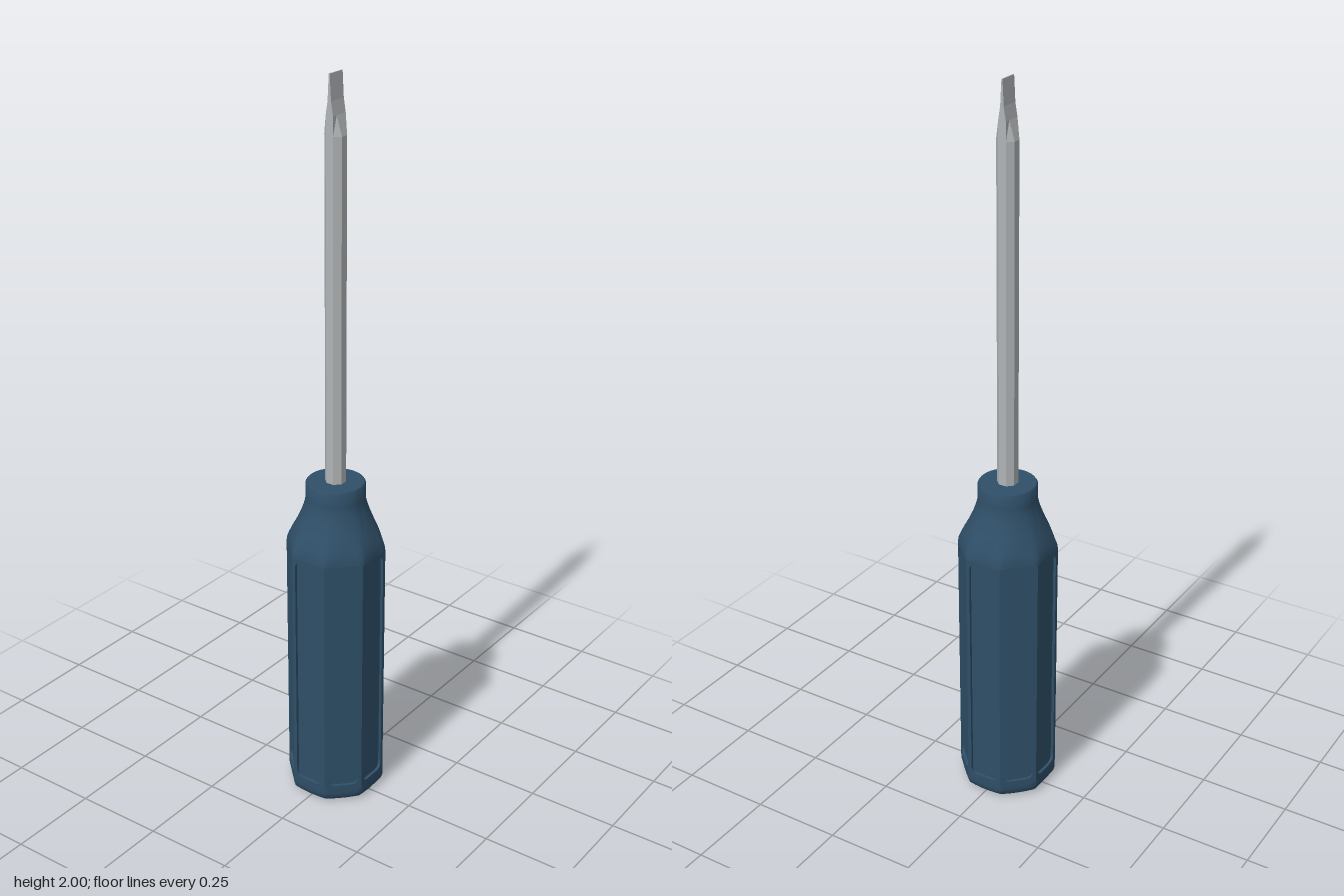
import * as THREE from 'three';
import { toCreasedNormals } from 'three/addons/utils/BufferGeometryUtils.js';

const APOTHEM = 0.125;   // octagonal grip, centre to flat
const RECESS = 0.008;    // depth of the finger panels
const HALF_SIDE = APOTHEM * Math.tan(Math.PI / 8);

// Skin a stack of closed rings (each an array of [x, y, z]) from bottom to top
function loft(rings, crease) {
  const n = rings[0].length;
  const index = [];
  for (let i = 0; i < rings.length - 1; i++) {
    for (let j = 0; j < n; j++) {
      const k = (j + 1) % n;
      const a = i * n + j, b = i * n + k, c = b + n, d = a + n;
      index.push(a, b, c, a, c, d);
    }
  }
  const geo = new THREE.BufferGeometry();
  geo.setAttribute('position', new THREE.Float32BufferAttribute(rings.flat(2), 3));
  geo.setIndex(index);
  return toCreasedNormals(geo, crease);
}

// Ring between an octagon (round = 0) and a circle (round = 1)
function ring(y, r, round, n = 64) {
  return Array.from({ length: n }, (_, j) => {
    const t = (j / n) * Math.PI * 2;
    const m = ((t + Math.PI / 8) % (Math.PI / 4)) - Math.PI / 8;
    const rad = r * (round + (1 - round) / Math.cos(m));
    return [rad * Math.sin(t), y, rad * Math.cos(t)];
  });
}

// Rectangle with rounded corners, used for the panel openings
function roundedRect(path, w, y0, y1, r) {
  path.moveTo(-w + r, y0);
  path.lineTo(w - r, y0);
  path.quadraticCurveTo(w, y0, w, y0 + r);
  path.lineTo(w, y1 - r);
  path.quadraticCurveTo(w, y1, w - r, y1);
  path.lineTo(-w + r, y1);
  path.quadraticCurveTo(-w, y1, -w, y1 - r);
  path.lineTo(-w, y0 + r);
  path.quadraticCurveTo(-w, y0, -w + r, y0);
  return path;
}

export function createModel() {
  const blue = new THREE.MeshStandardMaterial({ color: 0x2f4f68 });
  blue.name = 'handle blue';
  const steel = new THREE.MeshStandardMaterial({ color: 0xb0b4b6 });
  steel.name = 'steel';

  const model = new THREE.Group();
  model.name = 'screwdriver';
  const handle = new THREE.Group();
  handle.name = 'handle';
  model.add(handle);

  const add = (parent, name, geo, mat) => {
    const mesh = new THREE.Mesh(geo, mat);
    mesh.name = name;
    parent.add(mesh);
    return mesh;
  };

  // Rounded butt end
  const butt = [
    [0, 0, 1], [0, 0.111, 0.6], [0.005, 0.118, 0.4], [0.013, 0.123, 0.15],
    [0.025, APOTHEM, 0], [0.04, APOTHEM, 0],
  ];
  add(handle, 'buttCap', loft(butt.map(s => ring(...s)), 0.88), blue);

  // Shoulder flowing from the octagon into the round collar
  const shoulder = [
    [0.74, APOTHEM, 0], [0.755, 0.124, 0.12], [0.77, 0.12, 0.35], [0.79, 0.113, 0.6],
    [0.815, 0.102, 0.85], [0.84, 0.092, 1], [0.86, 0.085, 1], [0.875, 0.081, 1],
    [0.89, 0.079, 1], [0.927, 0.079, 1], [0.931, 0.076, 1], [0.931, 0, 1],
  ];
  add(handle, 'shoulder', loft(shoulder.map(s => ring(...s)), 0.88), blue);

  // Eight grip faces, each a frame around a recessed panel
  const frame = new THREE.Shape();
  frame.moveTo(-HALF_SIDE, 0.04);
  frame.lineTo(HALF_SIDE, 0.04);
  frame.lineTo(HALF_SIDE, 0.74);
  frame.lineTo(-HALF_SIDE, 0.74);
  frame.closePath();
  frame.holes.push(roundedRect(new THREE.Path(), 0.042, 0.052, 0.73, 0.02));
  const frameGeo = new THREE.ExtrudeGeometry(frame, { depth: RECESS, bevelEnabled: false, curveSegments: 6 });
  frameGeo.translate(0, 0, APOTHEM - RECESS);
  const floorGeo = new THREE.ShapeGeometry(roundedRect(new THREE.Shape(), 0.042, 0.052, 0.73, 0.02), 6);
  floorGeo.translate(0, 0, APOTHEM - RECESS);
  for (let i = 0; i < 8; i++) {
    const angle = (i * Math.PI) / 4;
    add(handle, 'gripFrame', frameGeo, blue).rotation.y = angle;
    add(handle, 'gripPanel', floorGeo, blue).rotation.y = angle;
  }

  // Octagonal shaft, ground down on both faces to a flat blade
  const half = 0.026, side = half * Math.tan(Math.PI / 8);
  const outline = [
    [-side, half], [side, half], [half, side], [half, -side],
    [side, -half], [-side, -half], [-half, -side], [-half, side],
  ];
  const section = (y, limit) =>
    outline.map(([x, z]) => [x, y, THREE.MathUtils.clamp(z, -limit, limit)]);
  const shaft = [[0.9, half], [1.85, half], [1.9, side], [1.935, 0.005], [2, 0.0015]]
    .map(s => section(...s));
  add(model, 'shaft', loft(shaft, 0.1), steel);

  // Flat end of the blade
  const tip = new THREE.PlaneGeometry(half * 2, 0.003);
  tip.rotateX(-Math.PI / 2);
  tip.translate(0, 2, 0);
  add(model, 'bladeEnd', tip, steel);

  return model;
}
